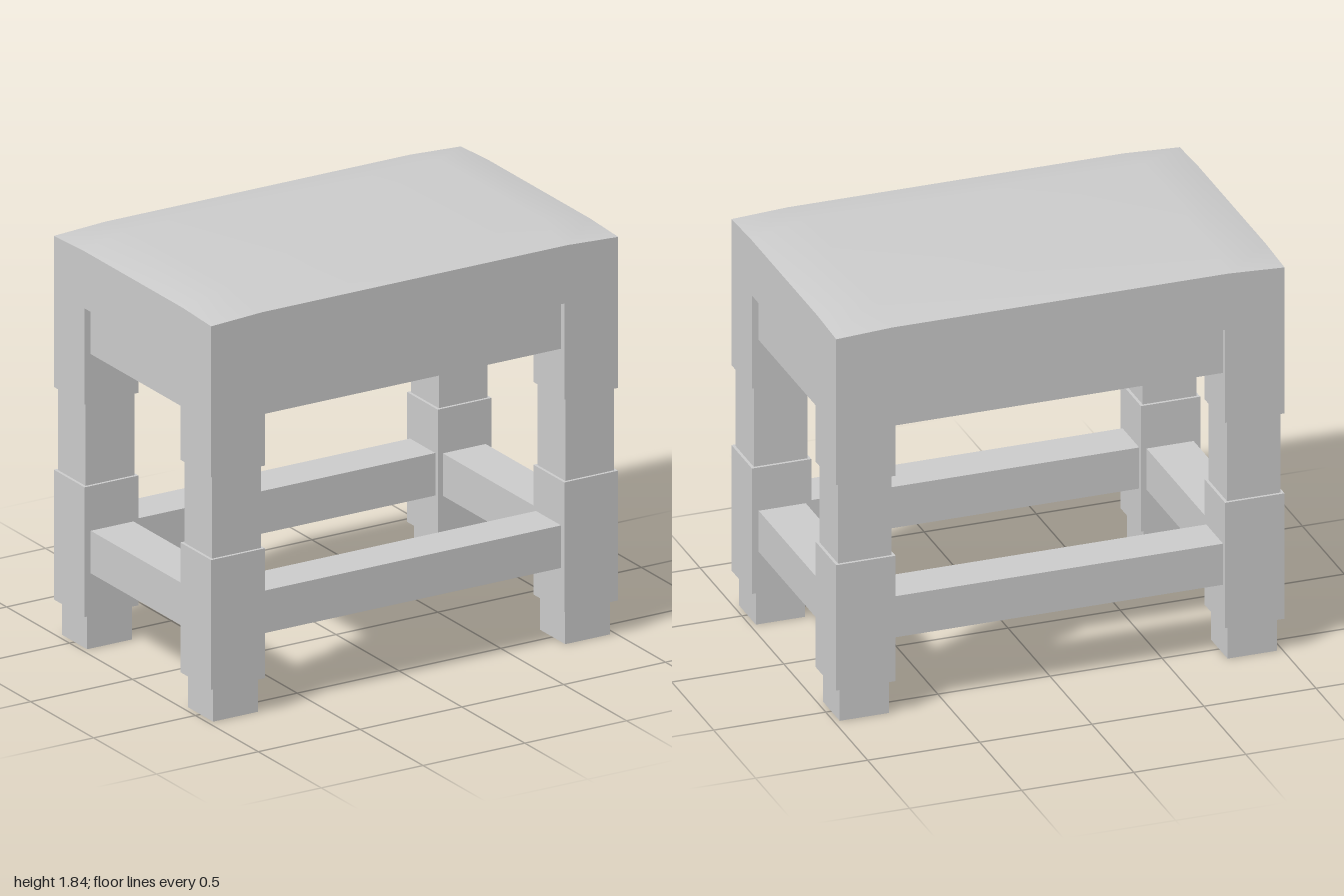
import * as THREE from 'three';

const material = new THREE.MeshStandardMaterial({ color: 0xcccccc });

// Box given by its minimum and maximum corners
function block(name, [x0, y0, z0], [x1, y1, z1]) {
  const geometry = new THREE.BoxGeometry(x1 - x0, y1 - y0, z1 - z0);
  geometry.translate((x0 + x1) / 2, (y0 + y1) / 2, (z0 + z1) / 2);
  const mesh = new THREE.Mesh(geometry, material);
  mesh.name = name;
  return mesh;
}

// Seat slab: 3 x 3 grid on top, shaped into a shallow smooth crown
function createSeat() {
  const geometry = new THREE.BoxGeometry(2, 2, 1.25, 3, 1, 3);
  const p = geometry.attributes.position;
  for (let i = 0; i < p.count; i++) {
    const x = p.getX(i), z = p.getZ(i);
    const innerX = Math.abs(x) < 0.9, innerZ = Math.abs(z) < 0.5;
    const crown = innerX && innerZ ? 1.84 : innerX ? 1.793 : innerZ ? 1.79 : 1.78;
    p.setXYZ(
      i,
      innerX ? Math.sign(x) * 0.75 : x,
      p.getY(i) > 0 ? crown : 1.535,
      innerZ ? Math.sign(z) * 0.4 : z
    );
  }
  geometry.computeVertexNormals();
  const seat = new THREE.Mesh(geometry, material);
  seat.name = 'seat';
  return seat;
}

export function createModel() {
  const stool = new THREE.Group();
  stool.name = 'stool';
  stool.add(createSeat());

  // Leg sections: name, bottom, top, inset outside, inset inside
  const sections = [
    ['foot', 0, 0.155, 0.025, 0.02],
    ['lowerLegBlock', 0.155, 0.735, 0, 0],
    ['legShaft', 0.735, 1.105, 0.013, 0.013],
    ['upperLegBlock', 1.105, 1.535, 0, 0],
  ];
  for (const sx of [-1, 1]) {
    for (const sz of [-1, 1]) {
      const leg = new THREE.Group();
      leg.name = (sz > 0 ? 'front' : 'back') + (sx > 0 ? 'Left' : 'Right') + 'Leg';
      for (const [name, y0, y1, outer, inner] of sections) {
        const xs = [sx * (0.735 + inner), sx * (1 - outer)].sort((a, b) => a - b);
        const zs = [sz * (0.38 + inner), sz * (0.625 - outer)].sort((a, b) => a - b);
        leg.add(block(name, [xs[0], y0, zs[0]], [xs[1], y1, zs[1]]));
      }
      stool.add(leg);
    }
  }

  // Aprons under the seat and stretchers between the lower leg blocks
  for (const [name, y0, y1] of [['Apron', 1.325, 1.535], ['Stretcher', 0.345, 0.535]]) {
    stool.add(block('front' + name, [-0.735, y0, 0.4], [0.735, y1, 0.6]));
    stool.add(block('back' + name, [-0.735, y0, -0.6], [0.735, y1, -0.4]));
    stool.add(block('left' + name, [0.76, y0, -0.38], [0.97, y1, 0.38]));
    stool.add(block('right' + name, [-0.97, y0, -0.38], [-0.76, y1, 0.38]));
  }
  return stool;
}
